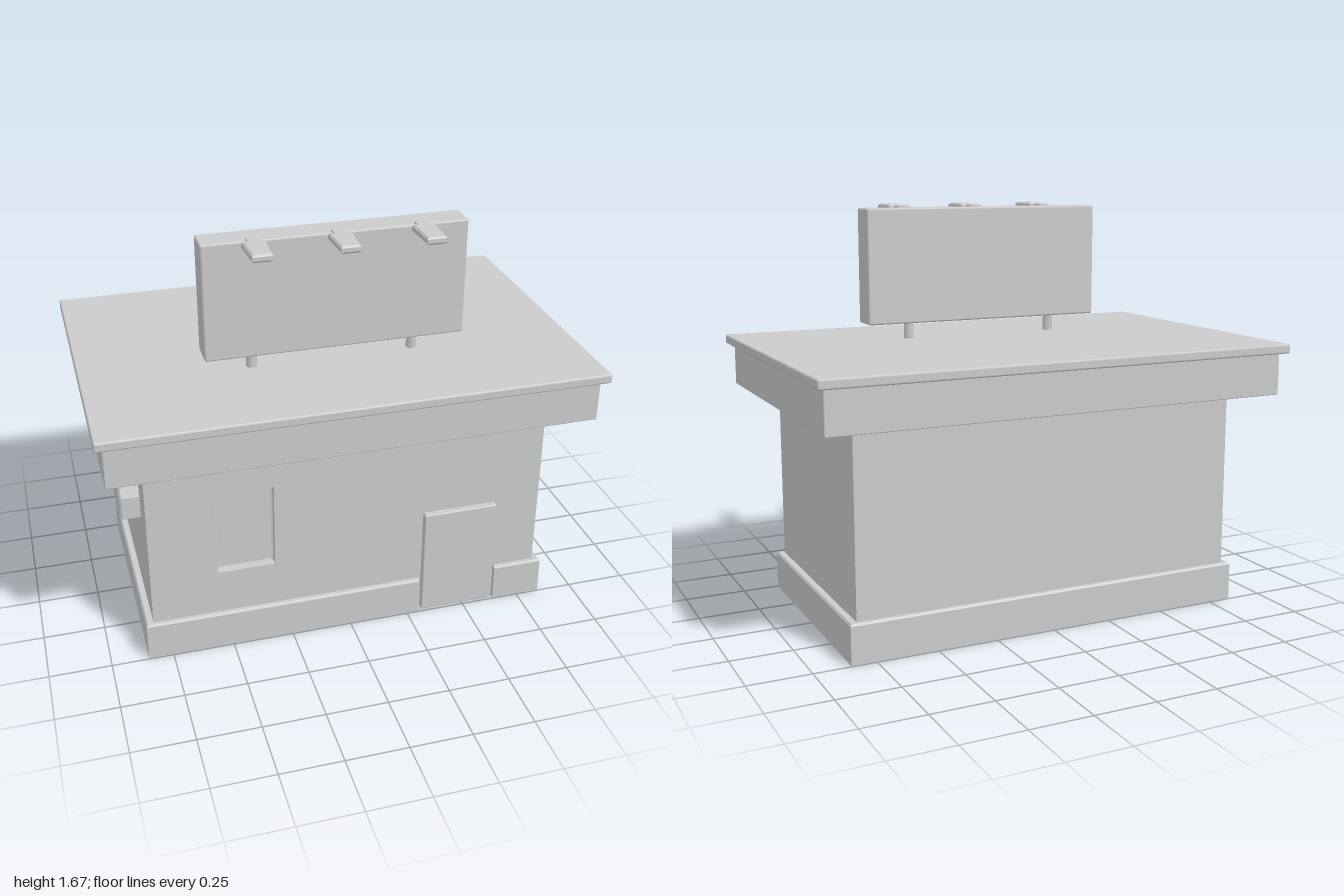
import * as THREE from 'three';
import { RoundedBoxGeometry } from 'three/addons/geometries/RoundedBoxGeometry.js';

const grey = new THREE.MeshStandardMaterial({ color: 0xcccccc });
const sheet = new THREE.MeshStandardMaterial({ color: 0xcccccc, side: THREE.DoubleSide });

function add(parent, name, geometry, material = grey, x = 0, y = 0, z = 0) {
  const mesh = new THREE.Mesh(geometry, material);
  mesh.name = name;
  mesh.position.set(x, y, z);
  parent.add(mesh);
  return mesh;
}

// Box with softened edges, given by its limits
function block(parent, name, [x0, x1], [y0, y1], [z0, z1], r = 0.006) {
  const g = new RoundedBoxGeometry(x1 - x0, y1 - y0, z1 - z0, 1, r);
  return add(parent, name, g, grey, (x0 + x1) / 2, (y0 + y1) / 2, (z0 + z1) / 2);
}

// Flat-shaded skin over rows of [x, y, z] points
function loft(rows, closed) {
  const pos = [];
  for (let r = 0; r + 1 < rows.length; r++) {
    const n = rows[r].length;
    for (let i = 0; i < (closed ? n : n - 1); i++) {
      const j = (i + 1) % n;
      const a = rows[r][i], b = rows[r][j], c = rows[r + 1][j], d = rows[r + 1][i];
      pos.push(...a, ...b, ...c, ...a, ...c, ...d);
    }
  }
  const g = new THREE.BufferGeometry();
  g.setAttribute('position', new THREE.Float32BufferAttribute(pos, 3));
  g.computeVertexNormals();
  return g;
}

const toShape = (pts) => new THREE.Shape(pts.map(([x, y]) => new THREE.Vector2(x, y)));

// Wall sheet with an opening that is pushed in or out to a given depth
function wallWithPocket(name, outline, opening, pocketName, depth, inset) {
  const group = new THREE.Group();
  group.name = name;
  const shape = toShape(outline);
  shape.holes.push(toShape(opening));
  add(group, name + 'Surface', new THREE.ShapeGeometry(shape), sheet);
  const us = opening.map((p) => p[0]), vs = opening.map((p) => p[1]);
  const cu = (Math.min(...us) + Math.max(...us)) / 2;
  const cv = (Math.min(...vs) + Math.max(...vs)) / 2;
  const cap = opening.map(([u, v]) => [u - Math.sign(u - cu) * inset, v - Math.sign(v - cv) * inset]);
  const at = (pts, z) => pts.map(([u, v]) => [u, v, z]);
  add(group, pocketName + 'Sides', loft([at(opening, 0), at(opening, depth * 0.9), at(cap, depth)], true), sheet);
  add(group, pocketName + 'Face', new THREE.ShapeGeometry(toShape(cap)), sheet, 0, 0, depth);
  return group;
}

export function createModel() {
  const model = new THREE.Group();
  model.name = 'shop';
  const W = 0.82, D = 0.475, base = 0.16, top = 0.9;
  const gap = [0.30, 0.64];

  // Front wall, reaching the ground at the door, with a recessed window
  const front = wallWithPocket('frontWall',
    [[-W, base], [gap[0], base], [gap[0], 0], [gap[1], 0], [gap[1], base], [W, base], [W, top], [-W, top]],
    [[-0.55, 0.35], [-0.315, 0.35], [-0.315, 0.715], [-0.55, 0.715]], 'window', -0.03, 0.008);
  front.position.z = D;
  model.add(front);

  // Side wall with an arched hood bulging outwards
  const side = wallWithPocket('rightWall',
    [[-D, base], [D, base], [D, top], [-D, top]],
    [[0.06, 0.565], [0.32, 0.565], [0.32, 0.66], [0.30, 0.705], [0.26, 0.73], [0.12, 0.73], [0.08, 0.705], [0.06, 0.66]],
    'sideHood', 0.08, 0.006);
  side.rotation.y = -Math.PI / 2;
  side.position.x = -W;
  model.add(side);

  // Remaining plain walls
  const midY = (base + top) / 2;
  add(model, 'leftWall', new THREE.PlaneGeometry(2 * D, top - base), sheet, W, midY, 0).rotation.y = Math.PI / 2;
  add(model, 'backWall', new THREE.PlaneGeometry(2 * W, top - base), sheet, 0, midY, -D).rotation.y = Math.PI;

  // Plinth skin with a ledge, broken at the door
  const ring = (w, d) => [[gap[1], D], [gap[1], d], [w, d], [w, -d], [-w, -d], [-w, d], [gap[0], d], [gap[0], D]];
  const level = (w, d, y) => ring(w, d).map(([x, z]) => [x, y, z]);
  add(model, 'plinth', loft([
    level(0.85, 0.495, 0), level(0.85, 0.495, 0.152), level(0.844, 0.489, base), level(W, D, base),
  ], false), sheet);

  // Door
  block(model, 'door', [0.312, 0.626], [0.01, 0.483], [0.465, 0.502]);

  // Roof
  block(model, 'fascia', [-0.97, 0.97], [0.9, 1.08], [-0.62, 0.62], 0.004);
  block(model, 'roofSlab', [-1, 1], [1.073, 1.112], [-0.653, 0.653], 0.008);

  // Roof sign on two posts
  block(model, 'signBoard', [-0.525, 0.525], [1.18, 1.655], [0.143, 0.265], 0.008);
  for (const x of [-0.33, 0.33]) {
    add(model, 'signPost', new THREE.CylinderGeometry(0.022, 0.022, 0.1, 8), grey, x, 1.145, 0.2);
  }

  // Lamps reaching out over the front of the sign
  const b = 0.007;
  const head = new THREE.ExtrudeGeometry(
    toShape([[-0.032, -0.435], [0.032, -0.435], [0.039, -0.295], [-0.039, -0.295]]),
    { depth: 0.016, bevelEnabled: true, bevelSize: b, bevelThickness: b, bevelSegments: 1 });
  head.rotateX(-Math.PI / 2);
  for (const x of [-0.33, 0, 0.33]) {
    const lamp = new THREE.Group();
    lamp.name = 'signLamp';
    add(lamp, 'lampHead', head, grey, 0, 1.643, 0);
    block(lamp, 'lampArm', [-0.022, 0.022], [1.641, 1.663], [0.243, 0.3], 0.005);
    lamp.position.x = x;
    model.add(lamp);
  }
  return model;
}
